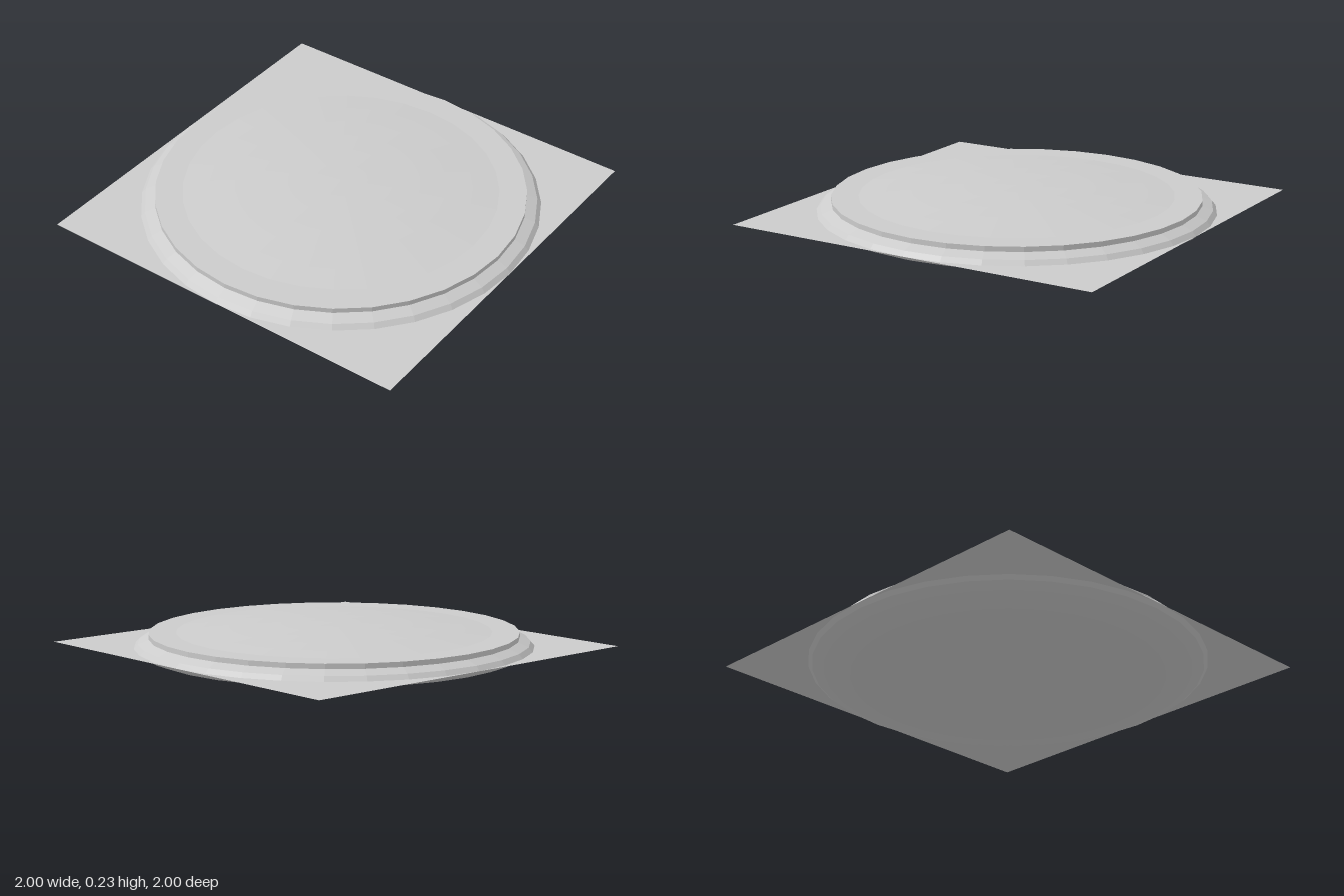
import * as THREE from 'three';

const SEGMENTS = 32;
const material = new THREE.MeshStandardMaterial({ color: 0xcccccc, flatShading: true });
const sheetMaterial = new THREE.MeshStandardMaterial({ color: 0xcccccc, side: THREE.DoubleSide });

// Revolved part; the profile runs from bottom to top as [radius, height]
function revolved(name, profile) {
  const points = profile.map(([r, y]) => new THREE.Vector2(r, y));
  const mesh = new THREE.Mesh(new THREE.LatheGeometry(points, SEGMENTS), material);
  mesh.name = name;
  return mesh;
}

export function createModel() {
  const group = new THREE.Group();
  group.name = 'disc';

  // Shallow bowl-shaped underside
  group.add(revolved('underside', [
    [0, 0], [0.2, 0.003], [0.4, 0.012], [0.6, 0.026], [0.79, 0.047],
    [0.92, 0.074], [0.98, 0.097], [1, 0.115],
  ]));

  // Bevelled outer rim with a short upright step and a flat top ring
  group.add(revolved('rim', [
    [1, 0.115], [0.98, 0.138], [0.927, 0.16], [0.927, 0.185], [0.79, 0.185],
  ]));

  // Low dome over the middle
  const domeRadius = 0.79, rise = 0.042, dome = [];
  for (let i = 0; i <= 6; i++) {
    const t = 1 - i / 6;
    dome.push([domeRadius * t, 0.185 + rise * (1 - t * t)]);
  }
  group.add(revolved('dome', dome));

  // Thin square sheet through the widest part of the disc
  const sheet = new THREE.Mesh(new THREE.PlaneGeometry(2, 2).rotateX(-Math.PI / 2), sheetMaterial);
  sheet.name = 'squareSheet';
  sheet.position.y = 0.115;
  group.add(sheet);

  return group;
}
